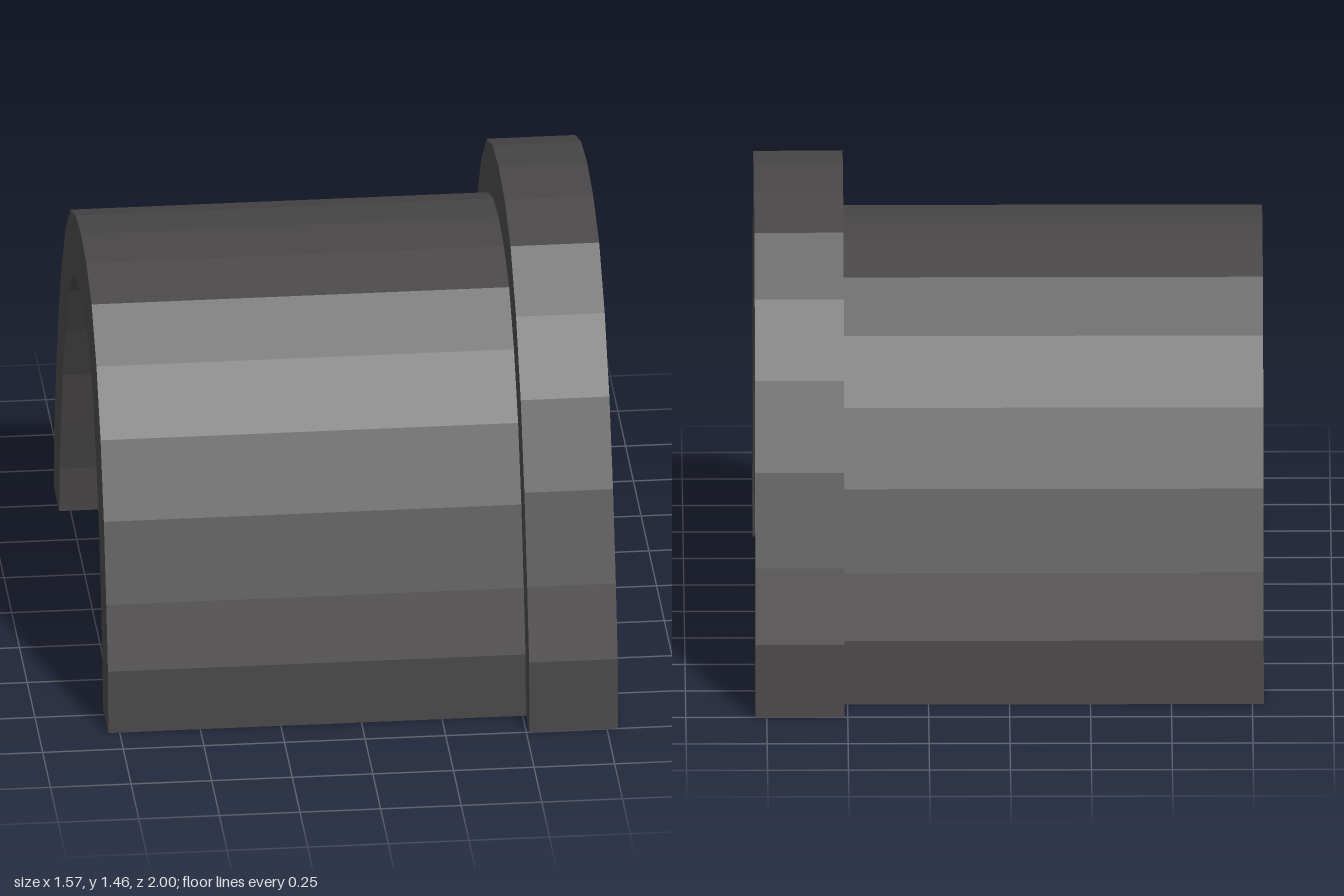
import * as THREE from 'three';

// Half profiles [z, y] from the foot to the crown
const OUTER = [[1, 0], [0.984, 0.23], [0.923, 0.46], [0.833, 0.74], [0.714, 1.0],
  [0.563, 1.214], [0.385, 1.37], [0.193, 1.438], [0, 1.458]];
const INNER = [[0.706, 0], [0.695, 0.15], [0.653, 0.31], [0.592, 0.52], [0.505, 0.71],
  [0.397, 0.90], [0.27, 1.015], [0.14, 1.06], [0, 1.076]];

// Mirror a half profile into a full arch, foot to foot
function arch(half, scale = 1) {
  const pts = half.map(([z, y]) => new THREE.Vector2(z * scale, y * scale));
  const mirrored = pts.slice(0, -1).reverse().map((p) => new THREE.Vector2(-p.x, p.y));
  return [...pts, ...mirrored];
}

function vault(name, outer, x0, x1, material) {
  const shape = new THREE.Shape([...outer, ...arch(INNER).reverse()]);
  const geometry = new THREE.ExtrudeGeometry(shape, { depth: x1 - x0, bevelEnabled: false });
  geometry.rotateY(Math.PI / 2).translate(x0, 0, 0);
  const mesh = new THREE.Mesh(geometry, material);
  mesh.name = name;
  return mesh;
}

export function createModel() {
  const group = new THREE.Group();
  group.name = 'archedTunnel';
  const stone = new THREE.MeshStandardMaterial({ color: 0x474545, flatShading: true });
  const dark = new THREE.MeshStandardMaterial({ color: 0x0a0a0a, side: THREE.DoubleSide });

  // Long vault and the larger collar around its mouth
  group.add(vault('tunnelVault', arch(OUTER, 0.882), -0.785, 0.51, stone));
  group.add(vault('entranceCollar', arch(OUTER), 0.51, 0.785, stone));

  // Dark panel closing the opening behind the collar
  const panel = new THREE.Mesh(new THREE.ShapeGeometry(new THREE.Shape(arch(INNER))), dark);
  panel.geometry.rotateY(Math.PI / 2).translate(0.505, 0, 0);
  panel.name = 'darkOpeningPanel';
  group.add(panel);

  return group;
}
